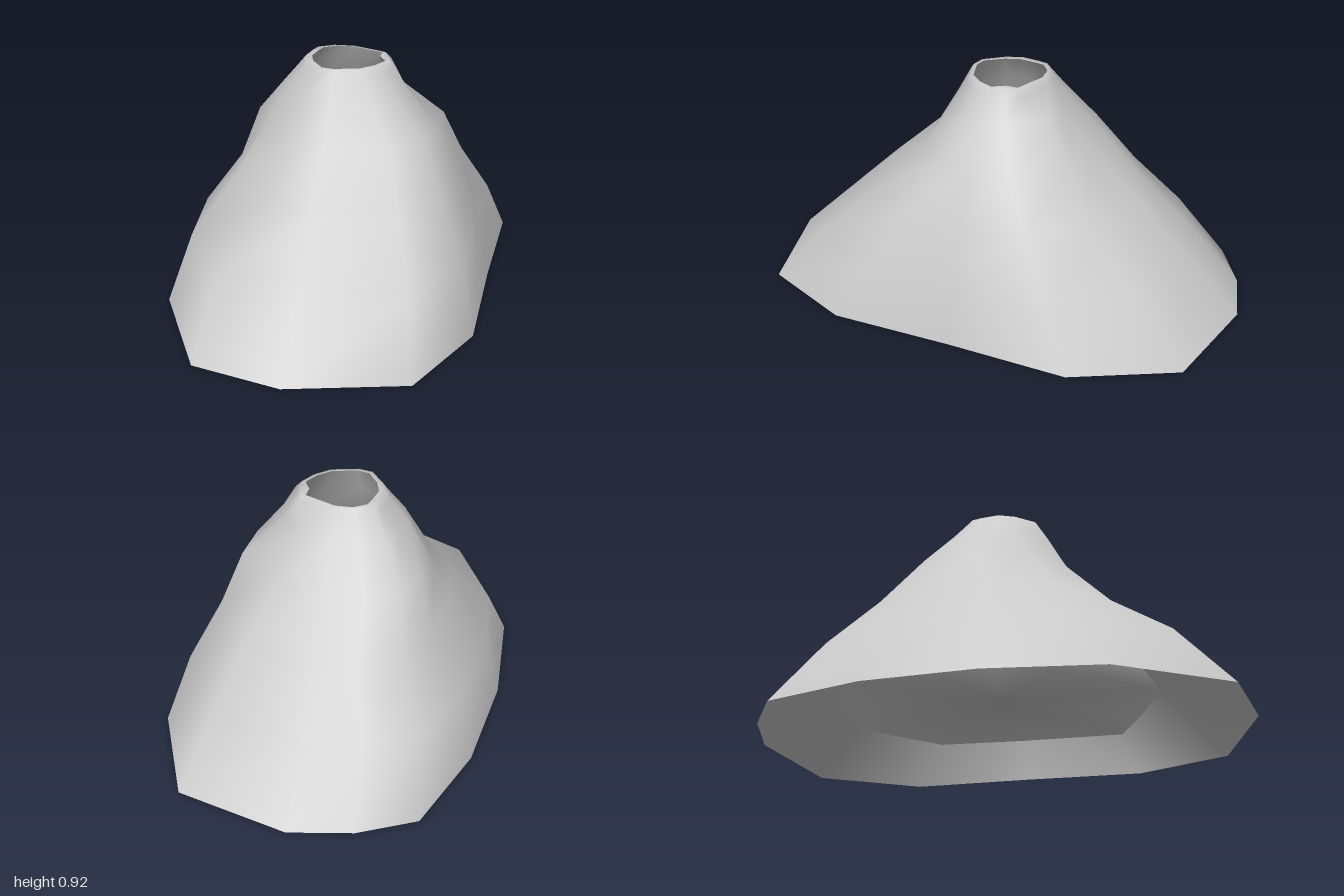
import * as THREE from 'three';

// Outlines [x, z], running from the back round by the left side
const base = [[-0.01, -1], [0.45, -0.9], [0.65, -0.5], [0.63, 0], [0.625, 0.5], [0.45, 0.88], [-0.01, 1],
  [-0.37, 0.92], [-0.61, 0.48], [-0.65, 0.02], [-0.61, -0.43], [-0.48, -0.82], [-0.26, -0.94]];
const rim = [[0.02, -0.15], [0.15, -0.1], [0.15, -0.05], [0.18, 0], [0.15, 0.06], [0.1, 0.11], [0, 0.14],
  [-0.05, 0.13], [-0.1, 0.06], [-0.12, 0], [-0.11, -0.07], [-0.1, -0.11], [-0.05, -0.145]];
const chamber = [[0, -0.68], [0.27, -0.6], [0.47, -0.36], [0.48, 0], [0.47, 0.44], [0.24, 0.54], [-0.01, 0.63],
  [-0.18, 0.42], [-0.31, 0.23], [-0.44, 0.03], [-0.41, -0.28], [-0.29, -0.6], [-0.16, -0.64]];
const N = base.length;
const floorY = 0.13;

// Outer slope: height, blend from base to rim outline, reach to -x, +x, -z, +z,
// and the hollows and ridges as [x, z] by outline corner
const slope = [
  [0, 0, 0.65, 0.65, 1, 1, {}],
  [0.24, 0.1, 0.585, 0.59, 0.765, 0.75, { 1: [0.38, -0.69], 5: [0.41, 0.68], 7: [-0.35, 0.7] }],
  [0.46, 0.25, 0.425, 0.49, 0.555, 0.52, { 1: [0.3, -0.47], 7: [-0.18, 0.46] }],
  [0.65, 0.45, 0.36, 0.4, 0.36, 0.31,
    { 1: [0.21, -0.34], 2: [0.4, -0.17], 7: [-0.14, 0.28], 8: [-0.28, 0.14], 9: [-0.36, -0.06] }],
  [0.8, 0.75, 0.24, 0.275, 0.235, 0.22, { 1: [0.14, -0.22] }],
  [0.89, 1, 0.165, 0.22, 0.175, 0.17, { 2: [0.2, -0.07] }],
  [0.915, 1, 0.145, 0.195, 0.16, 0.155, { 2: [0.18, -0.06] }],
];

// One ring of points for a slope row
function ring([y, t, xn, xp, zn, zp, moved]) {
  return base.map(([bx, bz], i) => {
    if (moved[i]) return [moved[i][0], y, moved[i][1]];
    const [rx, rz] = rim[i];
    const u = THREE.MathUtils.lerp(bx / 0.65, rx / (rx > 0 ? 0.18 : 0.12), t);
    const v = THREE.MathUtils.lerp(bz, rz / (rz > 0 ? 0.14 : 0.15), t);
    return [u * (u > 0 ? xp : xn), y, v * (v > 0 ? zp : zn)];
  });
}

const flatRing = (outline, y) => outline.map(([x, z]) => [x, y, z]);

// Inner face of the wall, which thickens towards the base
const inset = (points) => points.map(([x, y, z]) => {
  const k = 0.68 + 0.26 * y;
  return [x * k, y, z * k];
});

// Skin between successive rings, with an optional centre point closing the last one
function loft(name, rings, centre) {
  const points = rings.flat();
  const index = [];
  for (let r = 0; r < rings.length - 1; r++) {
    for (let i = 0; i < N; i++) {
      const a = r * N + i, c = r * N + (i + 1) % N;
      index.push(a, a + N, c, c, a + N, c + N);
    }
  }
  if (centre) {
    const last = points.length - N;
    for (let i = 0; i < N; i++) index.push(last + N, last + (i + 1) % N, last + i);
    points.push(centre);
  }
  const geometry = new THREE.BufferGeometry();
  geometry.setAttribute('position', new THREE.Float32BufferAttribute(points.flat(), 3));
  geometry.setIndex(index);
  geometry.computeVertexNormals();
  const material = new THREE.MeshStandardMaterial({ color: 0xcccccc, side: THREE.DoubleSide });
  const mesh = new THREE.Mesh(geometry, material);
  mesh.name = name;
  return mesh;
}

export function createModel() {
  const group = new THREE.Group();
  group.name = 'volcano';
  const outer = slope.map(ring);
  const lip = flatRing(rim, 0.915);

  // Mountain side, open below, with a narrow lip round the crater
  group.add(loft('mountainSlope', [...outer, lip]));

  // Inner wall from the crater down to a chamber, smoothly joined to its floor
  const inner = [outer[4], outer[3], outer[2]].map(inset);
  group.add(loft('craterChamber', [lip, ...inner, flatRing(chamber, floorY)], [0, floorY, 0]));

  return group;
}
